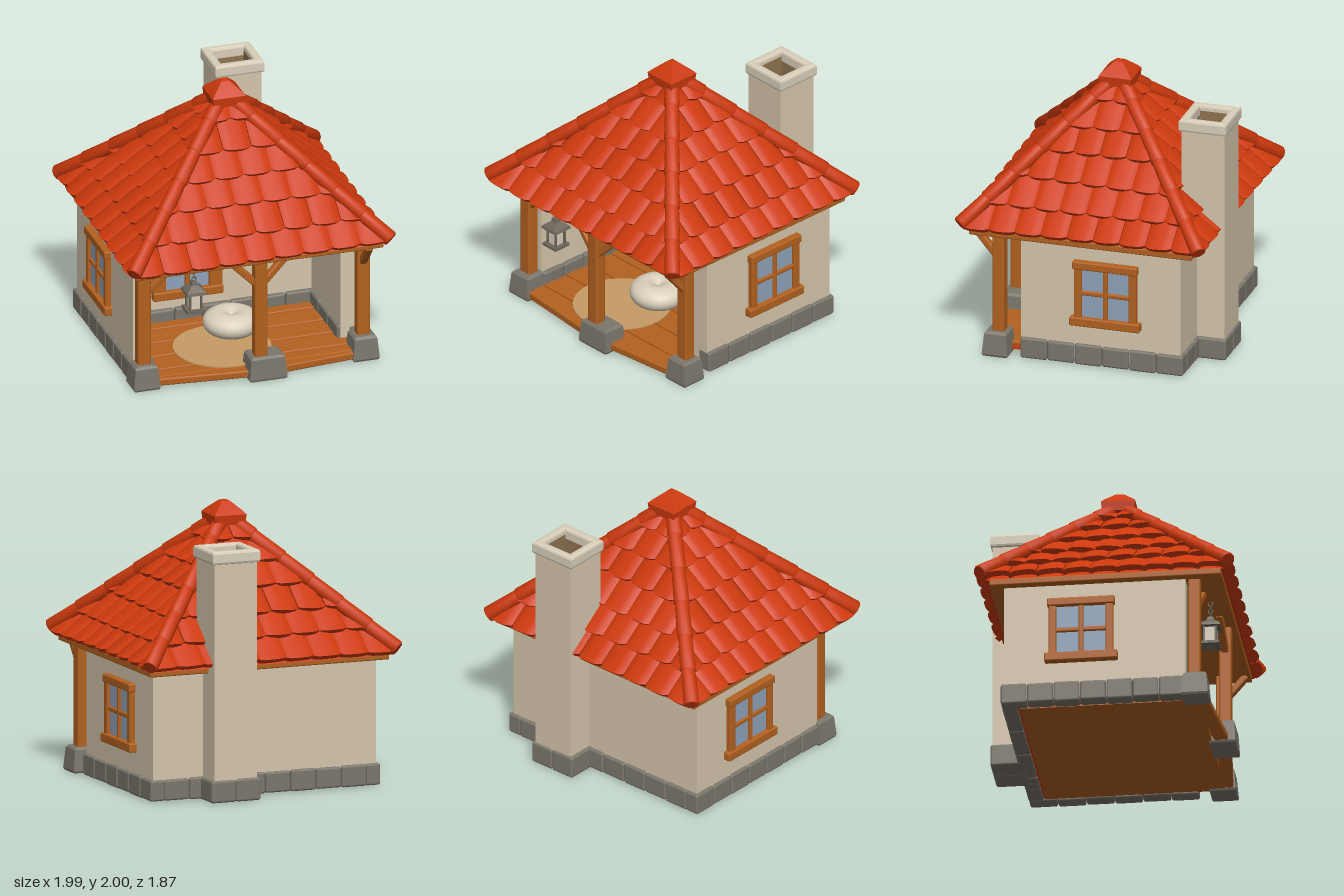
import * as THREE from 'three';
import { toCreasedNormals } from 'three/addons/utils/BufferGeometryUtils.js';
import { RoundedBoxGeometry } from 'three/addons/geometries/RoundedBoxGeometry.js';

const mat = (name, color) => Object.assign(new THREE.MeshStandardMaterial({ color }), { name });
const M = {
  tile: mat('red tile', 0xcc390d), wall: mat('plaster', 0xd6c6ac), stone: mat('grey stone', 0x7c776c),
  wood: mat('wood', 0xb3611f), glass: mat('window glass', 0x8fa3ba), cap: mat('pale stone', 0xd9cfba),
  mat: mat('straw', 0xc79c66), soot: mat('flue brown', 0x8f7350), metal: mat('lantern metal', 0x6e675c),
};

function add(parent, name, geo, material, x = 0, y = 0, z = 0) {
  const m = new THREE.Mesh(geo, material);
  m.name = name;
  m.position.set(x, y, z);
  parent.add(m);
  return m;
}

// Box given by its min and max corners, softened when r > 0
function block(parent, name, material, [x0, y0, z0], [x1, y1, z1], r = 0) {
  const s = [x1 - x0, y1 - y0, z1 - z0];
  const geo = r ? new RoundedBoxGeometry(...s, 2, r) : new THREE.BoxGeometry(...s);
  return add(parent, name, geo, material, (x0 + x1) / 2, (y0 + y1) / 2, (z0 + z1) / 2);
}

// Timber running between two points
function timber(parent, name, a, b, w, h) {
  const p = new THREE.Vector3(...a), q = new THREE.Vector3(...b);
  const m = add(parent, name, new RoundedBoxGeometry(w, h, p.distanceTo(q), 2, 0.012), M.wood);
  m.position.copy(p).lerp(q, 0.5);
  m.lookAt(q);
  return m;
}

// Square tube standing on y = 0
function squareTube(w, d, t, h, bevel = 0) {
  const rect = (S, a, b) => new S([[-a, -b], [a, -b], [a, b], [-a, b]].map(p => new THREE.Vector2(...p)));
  const shape = rect(THREE.Shape, w / 2 - bevel, d / 2 - bevel);
  shape.holes.push(rect(THREE.Path, w / 2 - t + bevel, d / 2 - t + bevel));
  const geo = new THREE.ExtrudeGeometry(shape, {
    depth: h - 2 * bevel, bevelEnabled: bevel > 0, bevelSize: bevel, bevelThickness: bevel, bevelSegments: 2,
  });
  return geo.rotateX(-Math.PI / 2).translate(0, bevel, 0);
}

// Profile turned into a four-sided shape with faces square to x and z
const squareLathe = pts => toCreasedNormals(
  new THREE.LatheGeometry(pts.map(([r, y]) => new THREE.Vector2(r * Math.SQRT2, y)), 4, Math.PI / 4), 0.3);

// Wooden window facing +z, centred on its origin
function windowUnit(w, h, f, cols, rows, sill) {
  const g = new THREE.Group();
  const wood = (a, b) => block(g, 'windowFrame', M.wood, a, b, 0.01);
  block(g, 'windowGlass', M.glass, [-w / 2 + f / 2, -h / 2 + f / 2, 0.008], [w / 2 - f / 2, h / 2 - f / 2, 0.016]);
  for (const s of [-1, 1]) {
    const x = s * (w / 2 - f / 2);
    wood([x - f / 2, -h / 2, -0.03], [x + f / 2, h / 2, 0.04]);
  }
  wood([-w / 2 - 0.01, h / 2 - 0.06, -0.03], [w / 2 + 0.01, h / 2, 0.05]);
  wood([-w / 2 - sill, -h / 2, -0.03], [w / 2 + sill, -h / 2 + 0.065, 0.055]);
  for (let i = 1; i < cols; i++) {
    const x = -w / 2 + f + (w - 2 * f) * i / cols;
    wood([x - 0.017, -h / 2 + 0.03, 0], [x + 0.017, h / 2 - 0.03, 0.035]);
  }
  for (let i = 1; i < rows; i++) {
    const y = -h / 2 + 0.065 + (h - 0.125) * i / rows;
    wood([-w / 2 + f / 2, y - 0.017, 0], [w / 2 - f / 2, y + 0.017, 0.032]);
  }
  return g;
}

// Roof measures: half sizes at the eaves, eave height and rise
const RX = 0.94, RZ = 0.87, EAVE = 0.965, RISE = 0.92, ROWS = 6;

// Curved tile: a box bent onto the slope and trimmed at the hips
function tileGeometry(W, D, x0, x1, row, seed) {
  const geo = new THREE.BoxGeometry(1, 1, 1, 6, 3, 1), p = geo.attributes.position;
  const len = Math.hypot(D, RISE), ny = D / len, no = RISE / len;
  const wobble = Math.sin(seed * 12.9) * 0.008;
  for (let i = 0; i < p.count; i++) {
    const u = p.getX(i) * 2, v = p.getY(i) + 0.5, edge = u ** 4;
    const t = (row - 0.06 + v * 1.2) / ROWS + (1 - v) * (edge * 0.018 + wobble);
    const h = 0.012 + 0.038 * (1 - v) - 0.022 * edge + wobble * u + (p.getZ(i) < 0 ? -0.04 : 0);
    const lim = Math.max(0, W * (1 - t));
    const x = THREE.MathUtils.clamp((x0 + x1) / 2 + u * (x1 - x0) / 2, -lim, lim);
    p.setXYZ(i, x, EAVE + RISE * t + ny * h, D * (1 - t) + no * h);
  }
  return toCreasedNormals(geo, 0.7);
}

function buildRoof() {
  const g = new THREE.Group();
  g.name = 'roof';
  const core = new THREE.CylinderGeometry(0, Math.SQRT2, RISE, 4).toNonIndexed().rotateY(Math.PI / 4);
  core.scale(RX - 0.02, 1, RZ - 0.02);
  core.computeVertexNormals();
  add(g, 'roofCore', core, M.tile, 0, EAVE + RISE / 2 - 0.01, 0);
  for (let k = 0; k < 4; k++) {
    const [W, D] = k % 2 ? [RZ, RX] : [RX, RZ], pitch = 2 * W / 9;
    for (let r = 0; r < ROWS; r++) {
      const lim = W * (1 - (r - 0.06) / ROWS);
      for (let i = -5; i <= 5; i++) {
        const c = (i + (r % 2) / 2) * pitch;
        if (Math.abs(c) - pitch / 2 > lim - 0.02) continue;
        const geo = tileGeometry(W, D, c - pitch / 2, c + pitch / 2, r, k * 97 + r * 13 + i);
        add(g, 'roofTile', geo.rotateY(k * Math.PI / 2), M.tile);
      }
    }
  }
  // Overlapping ridge tiles down each hip
  for (const sx of [-1, 1]) for (const sz of [-1, 1]) {
    const top = new THREE.Vector3(0, 1.895, 0), end = new THREE.Vector3(sx * 0.955, 1.0, sz * 0.885);
    const dir = end.clone().sub(top), n = 6, step = dir.length() / n;
    for (let i = 0; i < n; i++) {
      const prof = [[0, 0], [0.05, 0], [0.058, 0.012], [0.05, step + 0.02], [0, step + 0.02]];
      const geo = new THREE.LatheGeometry(prof.map(q => new THREE.Vector2(...q)), 12);
      const m = add(g, 'hipTile', toCreasedNormals(geo, 0.8), M.tile);
      m.position.copy(top).addScaledVector(dir, (i + 1) / n);
      m.quaternion.setFromUnitVectors(new THREE.Vector3(0, 1, 0), dir.clone().normalize().negate());
    }
  }
  add(g, 'roofCap', squareLathe([[0, 1.82], [0.115, 1.83], [0.122, 1.9], [0.1, 1.925], [0.03, 1.99], [0, 2]]), M.tile);
  return g;
}

// Row of foundation stones between two floor points
function stoneRow(parent, a, b, depth, y0, y1) {
  const L = Math.hypot(b[0] - a[0], b[1] - a[1]), n = Math.max(1, Math.round(L / 0.2));
  for (let i = 0; i < n; i++) {
    const t = (i + 0.5) / n;
    const geo = new RoundedBoxGeometry(L / n - 0.004, y1 - y0 - (i % 2) * 0.006, depth, 2, 0.016);
    const m = add(parent, 'foundationStone', geo, M.stone, a[0] + (b[0] - a[0]) * t, (y0 + y1) / 2, a[1] + (b[1] - a[1]) * t);
    m.rotation.y = Math.atan2(a[1] - b[1], b[0] - a[0]);
  }
}

function buildLantern() {
  const g = new THREE.Group();
  g.name = 'lantern';
  add(g, 'lanternBase', squareLathe([[0, 0], [0.015, 0.01], [0.03, 0.03], [0.068, 0.035], [0.068, 0.055], [0, 0.055]]), M.metal);
  add(g, 'lanternGlass', new THREE.BoxGeometry(0.07, 0.13, 0.07), M.cap, 0, 0.115, 0);
  for (const x of [-0.042, 0.042]) for (const z of [-0.042, 0.042])
    add(g, 'lanternBar', new THREE.BoxGeometry(0.014, 0.13, 0.014), M.metal, x, 0.115, z);
  add(g, 'lanternRoof', squareLathe([[0, 0.175], [0.075, 0.175], [0.07, 0.195], [0.025, 0.235], [0.02, 0.26], [0, 0.265]]), M.metal);
  for (let i = 0; i < 4; i++) {
    const link = add(g, 'chainLink', new THREE.TorusGeometry(0.017, 0.005, 6, 12), M.metal, 0, 0.277 + i * 0.029, 0);
    link.rotation.y = i % 2 ? 1.3 : 0.3;
  }
  return g;
}

export function createModel() {
  const g = new THREE.Group();
  g.name = 'cottage';

  // Plaster walls around the recessed porch
  block(g, 'houseWall', M.wall, [-0.86, 0.04, -0.72], [0.86, 0.93, -0.2]);
  block(g, 'porchWallRight', M.wall, [-0.86, 0.04, -0.21], [-0.74, 0.93, 0.57]);
  block(g, 'porchWallLeft', M.wall, [0.715, 0.04, -0.21], [0.86, 0.93, 0.46]);

  // Foundation stones, outside and inside the porch
  stoneRow(g, [0.83, 0.465], [0.83, -0.745], 0.11, 0.005, 0.16);
  stoneRow(g, [-0.83, 0.57], [-0.83, -0.745], 0.11, 0.005, 0.16);
  stoneRow(g, [-0.78, -0.69], [0.78, -0.69], 0.11, 0.005, 0.16);
  stoneRow(g, [-0.72, -0.2], [0.72, -0.2], 0.07, 0.06, 0.17);
  stoneRow(g, [-0.735, 0.57], [-0.735, -0.2], 0.06, 0.06, 0.17);
  stoneRow(g, [0.72, 0.46], [0.72, -0.2], 0.06, 0.06, 0.17);

  // Floor: underside, deck planks and front sills
  block(g, 'floorTrim', M.tile, [-0.8, 0.03, -0.66], [0.8, 0.05, 0.55]);
  block(g, 'floorUnderside', M.wood, [-0.76, 0.015, -0.62], [0.76, 0.06, 0.66]);
  for (let i = 0; i < 8; i++) {
    const z = -0.18 + i * 0.108;
    block(g, 'deckPlank', M.wood, [-0.78, 0.05, z], [0.78, 0.082 - (i % 2) * 0.006, z + 0.104], 0.01);
  }
  timber(g, 'frontSill', [-0.76, 0.045, 0.66], [0.06, 0.045, 0.74], 0.1, 0.055);
  timber(g, 'frontSill', [0.8, 0.045, 0.66], [0.06, 0.045, 0.74], 0.1, 0.055);

  // Posts on tapered stone feet, with braces
  for (const [x, z, w] of [[-0.805, 0.64, 0.098], [0.065, 0.735, 0.14], [0.822, 0.64, 0.098]]) {
    add(g, 'postFoot', squareLathe([[0, 0], [w - 0.008, 0], [w, 0.015], [w - 0.014, 0.165], [w - 0.03, 0.182], [0, 0.182]])
      .scale(1, 1, 0.095 / w), M.stone, x, 0, z);
    const px = w > 0.1 ? 0.023 : x, pz = w > 0.1 ? 0.75 : 0.63;
    block(g, 'post', M.wood, [px - 0.048, 0.15, pz - 0.044], [px + 0.048, 0.93, pz + 0.044], 0.014);
  }
  timber(g, 'brace', [0.04, 0.73, 0.75], [0.24, 0.93, 0.73], 0.055, 0.05);
  timber(g, 'brace', [0.0, 0.73, 0.75], [-0.2, 0.93, 0.73], 0.055, 0.05);
  timber(g, 'brace', [-0.8, 0.71, 0.63], [-0.58, 0.93, 0.66], 0.055, 0.05);
  timber(g, 'brace', [0.82, 0.72, 0.63], [0.82, 0.92, 0.8], 0.055, 0.05);

  // Eave board under the roof
  block(g, 'eaveBoard', M.wood, [-0.92, 0.915, -0.82], [0.92, 0.965, 0.83], 0.01);
  g.add(buildRoof());

  // Windows
  const front = windowUnit(0.52, 0.54, 0.1, 2, 3, 0);
  front.name = 'frontWindow';
  front.position.set(-0.215, 0.52, -0.2);
  g.add(front);
  for (const s of [-1, 1]) {
    const side = windowUnit(0.46, 0.49, 0.055, 2, 2, 0.03);
    side.name = s > 0 ? 'leftWindow' : 'rightWindow';
    side.position.set(s * 0.86, 0.555, -0.17);
    side.rotation.y = s * Math.PI / 2;
    g.add(side);
  }

  // Chimney with open flue
  add(g, 'chimneyStack', squareTube(0.33, 0.32, 0.04, 1.63), M.wall, 0.31, 0.1, -0.765);
  add(g, 'chimneyCap', squareTube(0.365, 0.35, 0.062, 0.095, 0.018), M.cap, 0.31, 1.708, -0.765);
  add(g, 'flueLining', squareTube(0.255, 0.245, 0.008, 0.3), M.soot, 0.31, 1.46, -0.765);
  block(g, 'flueFloor', M.soot, [0.17, 1.6, -0.9], [0.45, 1.608, -0.63]);
  block(g, 'chimneyFoot', M.stone, [0.12, 0, -0.94], [0.31, 0.165, -0.7], 0.018);
  block(g, 'chimneyFoot', M.stone, [0.31, 0, -0.94], [0.5, 0.16, -0.7], 0.018);

  // Porch furnishings
  add(g, 'roundMat', new THREE.CylinderGeometry(0.35, 0.35, 0.009, 40), M.mat, -0.13, 0.087, 0.36);
  const pouf = [[0, 0], [0.13, 0], [0.185, 0.03], [0.205, 0.08], [0.185, 0.13], [0.12, 0.165], [0.06, 0.16], [0.015, 0.135], [0, 0.13]];
  add(g, 'pouf', new THREE.LatheGeometry(new THREE.SplineCurve(pouf.map(p => new THREE.Vector2(...p))).getPoints(24), 28), M.cap, 0.01, 0.085, 0.14);
  const lantern = buildLantern();
  lantern.position.set(-0.45, 0.535, 0.7);
  g.add(lantern);
  return g;
}
